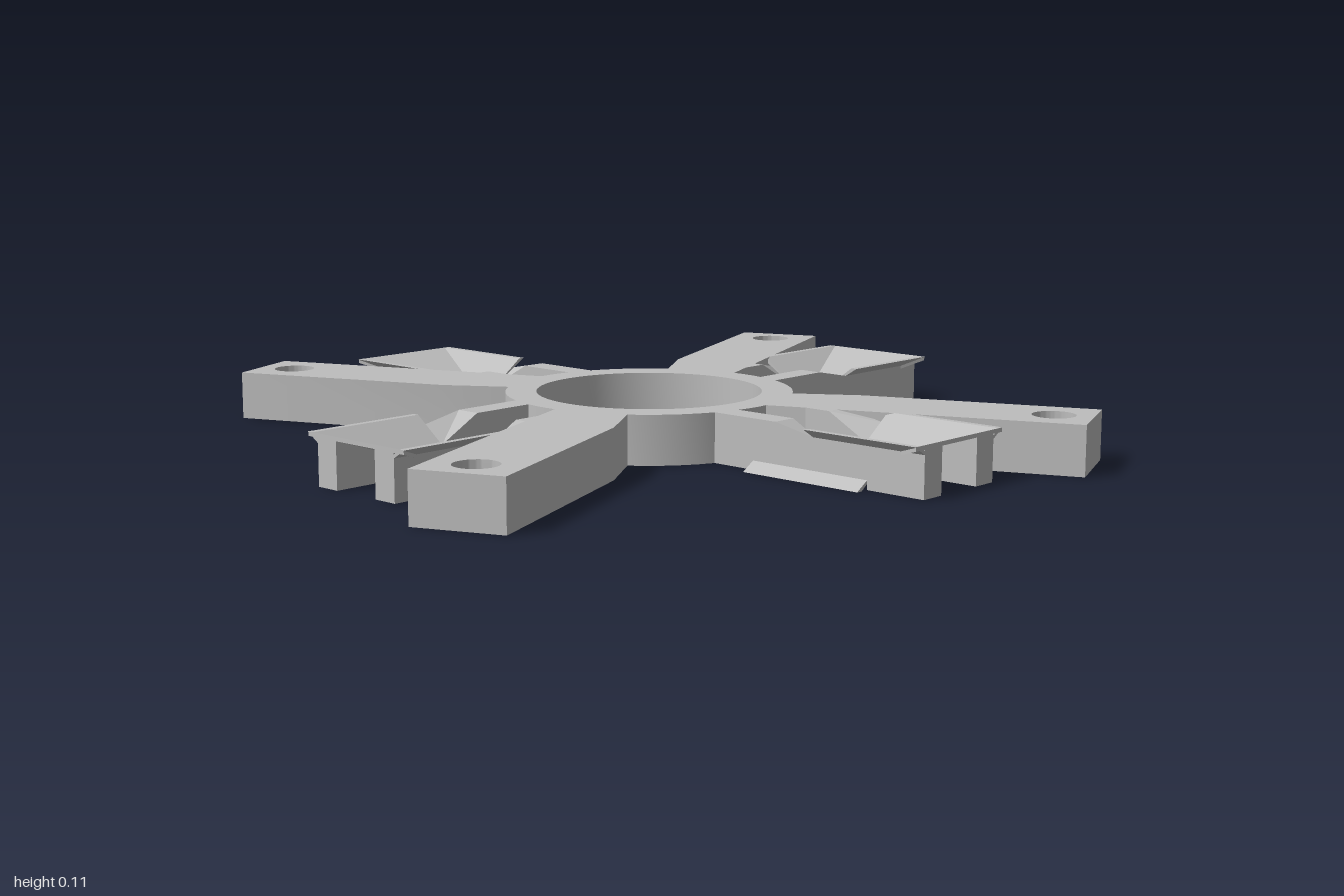
import * as THREE from 'three';
import { toCreasedNormals } from 'three/addons/utils/BufferGeometryUtils.js';

const H = 0.11;
const IN = 0.06;   // inner face of a rail, from the holder's centre line
const OUT = 0.118; // outer face of a rail
const grey = new THREE.MeshStandardMaterial({ color: 0xbebebe, side: THREE.DoubleSide });
grey.name = 'grey';

const toShape = (pts) => new THREE.Shape(pts.map(([a, b]) => new THREE.Vector2(a, b)));
const extrude = (shape, depth) =>
  new THREE.ExtrudeGeometry(shape, { depth, bevelEnabled: false, curveSegments: 32 });

function mesh(name, geometry) {
  const m = new THREE.Mesh(geometry, grey);
  m.name = name;
  return m;
}

function addHole(shape, x, y, r) {
  const hole = new THREE.Path();
  hole.absarc(x, y, r, 0, Math.PI * 2, true);
  shape.holes.push(hole);
}

// Flat slab drawn in plan (x, z), standing on y = 0
const slab = (shape) =>
  toCreasedNormals(extrude(shape, H).rotateX(Math.PI / 2).translate(0, H, 0), 0.6);

// Rail cross-section (across, up); either face can flare into a funnel lip
const railSection = (topFlare, bottomFlare) => [
  [IN, 0.055],
  [bottomFlare ? 0.135 : IN, 0], [bottomFlare ? 0.15 : OUT, 0], [OUT, 0.02],
  [OUT, 0.09], [topFlare ? 0.15 : OUT, H], [topFlare ? 0.135 : IN, H],
];

// One stretch of rail from u0 to u1; a ramp lowers its top at the far end
function railPiece(side, u0, u1, topFlare, bottomFlare, ramp) {
  const pts = railSection(topFlare, bottomFlare).map(([v, y]) => [v * side, y]);
  const g = extrude(toShape(pts), u1 - u0);
  if (ramp) {
    const p = g.attributes.position;
    for (let i = 0; i < p.count; i++) {
      if (p.getZ(i) > 0.001 && p.getY(i) > 0.1) {
        p.setY(i, Math.abs(p.getX(i)) < 0.09 ? 0.055 : 0.09);
      }
    }
    g.computeVertexNormals();
  }
  return g.rotateY(Math.PI / 2).translate(u0, 0, 0);
}

// Solid fill of a rail behind a sloping end plate, drawn from the side
const railFill = (side, profile) =>
  extrude(toShape(profile), OUT - IN).translate(0, 0, side > 0 ? IN : -OUT);

// Sloping end plate of a funnel, widening from the throat to the lip
function endPlate(profile, throat, lip) {
  const g = extrude(toShape(profile), 2).translate(0, 0, -1);
  const p = g.attributes.position;
  for (let i = 0; i < p.count; i++) {
    const t = THREE.MathUtils.clamp((p.getX(i) - throat) / (lip - throat), 0, 1);
    p.setZ(i, p.getZ(i) * THREE.MathUtils.lerp(IN, 0.148, t));
  }
  g.computeVertexNormals();
  return g;
}

function createFunnelHolder() {
  const holder = new THREE.Group();
  holder.name = 'funnelHolder';
  for (const side of [-1, 1]) {
    const rail = new THREE.Group();
    rail.name = 'rail';
    rail.add(
      mesh('railRoot', railPiece(side, 0.3, 0.41, false, false)),
      mesh('lowerLip', railPiece(side, 0.41, 0.47, false, true)),
      mesh('railRamp', railPiece(side, 0.47, 0.57, false, true, true)),
      mesh('doubleLip', railPiece(side, 0.57, 0.71, true, true)),
      mesh('prong', railPiece(side, 0.71, 0.85, true, false)),
      mesh('prongFill', railFill(side,
        [[0.71, 0.03], [0.85, 0.03], [0.85, 0.107], [0.71, 0.062]])),
      mesh('railFill', railFill(side,
        [[0.41, 0.003], [0.52, 0.053], [0.52, 0.07], [0.41, 0.08]])),
    );
    holder.add(rail);
  }
  holder.add(
    mesh('upperFunnelEnd', endPlate(
      [[0.68, 0.047], [0.85, 0.101], [0.85, H], [0.68, 0.055]], 0.68, 0.85)),
    mesh('lowerFunnelEnd', endPlate(
      [[0.41, 0], [0.425, 0], [0.52, 0.047], [0.52, 0.055]], 0.52, 0.41)),
  );
  return holder;
}

export function createModel() {
  const model = new THREE.Group();
  model.name = 'mountingBracket';

  // Central ring
  const ring = new THREE.Shape();
  ring.absarc(0, 0, 0.325, 0, Math.PI * 2, false);
  addHole(ring, 0, 0, 0.255);
  model.add(mesh('ring', slab(ring)));

  // Four arms with screw holes, each beside a turned funnel holder
  const arm = toShape([[0.29, -0.065], [0.47, -0.1], [1, -0.1], [1, 0.1], [0.29, 0.1]]);
  addHole(arm, 0.915, 0, 0.047);
  const armGeometry = slab(arm);
  for (let k = 0; k < 4; k++) {
    const quarter = new THREE.Group();
    quarter.name = 'quarter';
    const holder = createFunnelHolder();
    holder.rotation.y = -Math.PI / 8;
    quarter.add(mesh('arm', armGeometry), holder);
    quarter.rotation.y = -k * Math.PI / 2;
    model.add(quarter);
  }
  return model;
}
